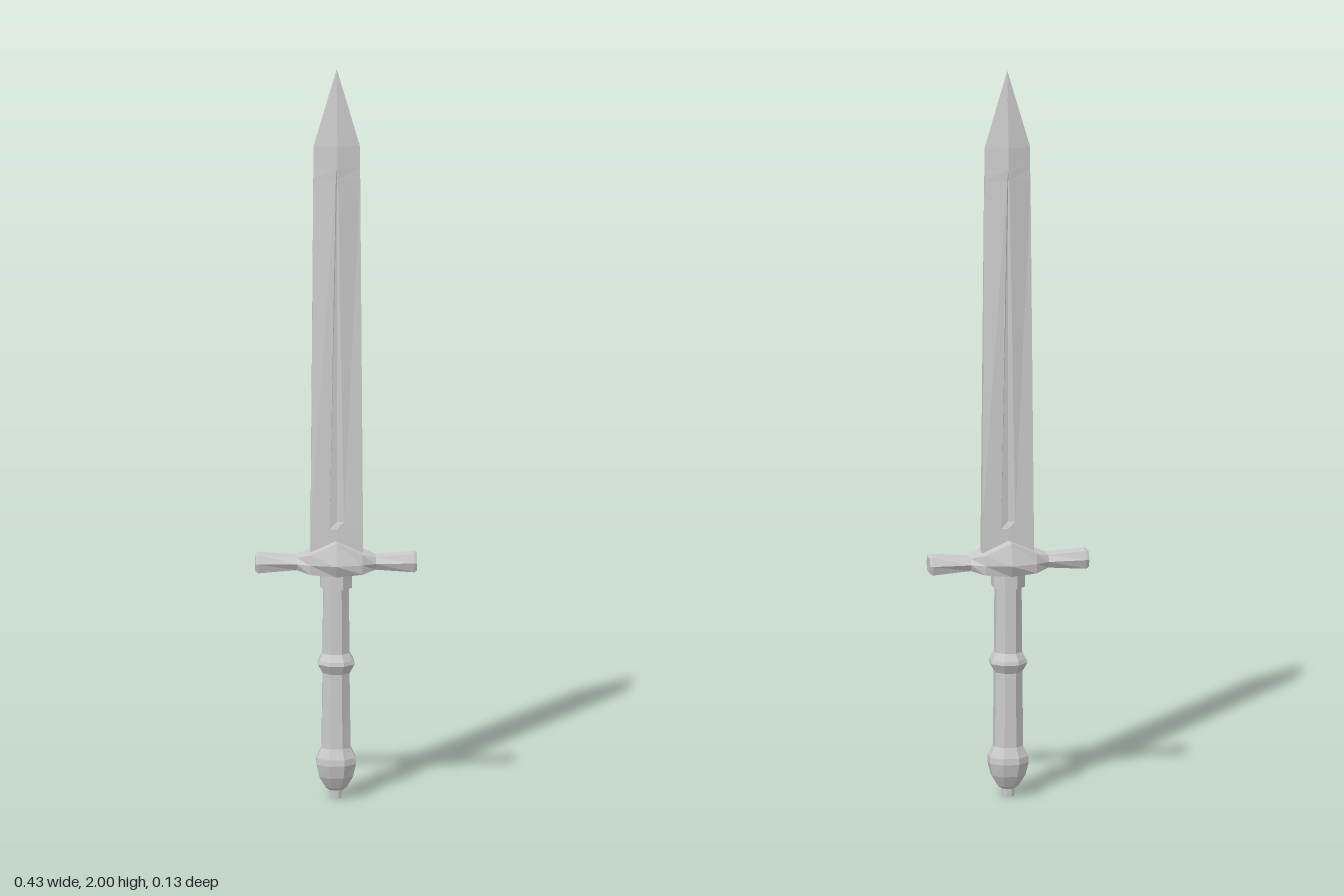
import * as THREE from 'three';

// Skins a closed surface over a list of rings with equal point counts
function loft(name, rings) {
  const pos = [];
  const tri = (...pts) => pts.forEach((p) => pos.push(...p));
  const n = rings[0].length;
  const centre = (ring) => [0, 1, 2].map((k) => ring.reduce((s, p) => s + p[k], 0) / n);
  for (let r = 0; r < rings.length - 1; r++) {
    for (let i = 0; i < n; i++) {
      const j = (i + 1) % n, a = rings[r], b = rings[r + 1];
      tri(a[i], b[i], a[j]);
      tri(a[j], b[i], b[j]);
    }
  }
  const first = rings[0], last = rings[rings.length - 1];
  const c0 = centre(first), c1 = centre(last);
  for (let i = 0; i < n; i++) {
    const j = (i + 1) % n;
    tri(c0, first[i], first[j]);
    tri(c1, last[j], last[i]);
  }
  const geo = new THREE.BufferGeometry();
  geo.setAttribute('position', new THREE.Float32BufferAttribute(pos, 3));
  geo.computeVertexNormals();
  const mesh = new THREE.Mesh(geo, new THREE.MeshStandardMaterial({ color: 0xcccccc, flatShading: true }));
  mesh.name = name;
  return mesh;
}

// Octagon with flat front and sides; rx and rz are its half widths
function octagon([y, rx, rz]) {
  return Array.from({ length: 8 }, (_, i) => {
    const a = ((i + 0.5) * Math.PI) / 4, k = 1 / Math.cos(Math.PI / 8);
    return [rx * k * Math.cos(a), y, rz * k * Math.sin(a)];
  });
}

// Blade section: half width w, edge half thickness e, groove half width g,
// groove lip z t, centre z c
function bladeRing([y, w, e, g, t, c]) {
  const half = [[w, e], [g, t], [0, c], [-g, t], [-w, e]];
  const x0 = 0.002;
  return [
    ...half.map(([x, z]) => [x + x0, y, z]),
    ...half.map(([x, z]) => [-x + x0, y, -z]),
  ];
}

// Six-sided guard section at x: top and bottom heights, flat half depth, middle half depth
function guardRing([x, top, bottom, flat, mid]) {
  const my = 0.648;
  return [
    [x, top, flat], [x, top, -flat], [x, my, -mid],
    [x, bottom, -flat], [x, bottom, flat], [x, my, mid],
  ];
}

export function createModel() {
  const group = new THREE.Group();

  // Blade with a tapering central groove, edges sharpening toward the point
  group.add(loft('blade', [
    [0.65, 0.07, 0.013, 0.02, 0.015, 0.016],
    [0.74, 0.07, 0.013, 0.02, 0.015, 0.016],
    [0.76, 0.07, 0.013, 0.019, 0.015, 0.010],
    [1.70, 0.063, 0.002, 0.003, 0.017, 0.014],
    [1.73, 0.062, 0.001, 0.002, 0.018, 0.018],
    [1.79, 0.062, 0.0005, 0.001, 0.018, 0.018],
    [2.0, 0.0003, 0.0002, 0.0001, 0.0002, 0.0003],
  ].map(bladeRing)));

  // Crossguard: half profile mirrored to both sides
  const arm = [
    [0.07, 0.676, 0.622, 0.048, 0.051],
    [0.106, 0.664, 0.63, 0.022, 0.033],
    [0.209, 0.672, 0.622, 0.022, 0.031],
    [0.217, 0.668, 0.627, 0.02, 0.028],
  ];
  const mirrored = arm.map(([x, ...rest]) => [-x, ...rest]).reverse();
  group.add(loft('crossguard',
    [...mirrored, [0, 0.708, 0.615, 0.05, 0.067], ...arm].map(guardRing)));

  // Collar beneath the guard
  group.add(loft('collar', [
    [0.58, 0.042, 0.048], [0.615, 0.042, 0.048], [0.635, 0.04, 0.044],
  ].map(octagon)));

  // Grip with a raised band in the middle
  group.add(loft('grip', [
    [0.125, 0.039, 0.036], [0.345, 0.036, 0.037], [0.37, 0.049, 0.05],
    [0.38, 0.046, 0.048], [0.4, 0.036, 0.037], [0.59, 0.034, 0.039],
  ].map(octagon)));

  // Pommel tapering to a small end button
  group.add(loft('pommel', [
    [0, 0.016, 0.013], [0.022, 0.017, 0.014], [0.03, 0.028, 0.022],
    [0.06, 0.045, 0.038], [0.095, 0.053, 0.047], [0.112, 0.052, 0.046], [0.14, 0.039, 0.037],
  ].map(octagon)));

  return group;
}
